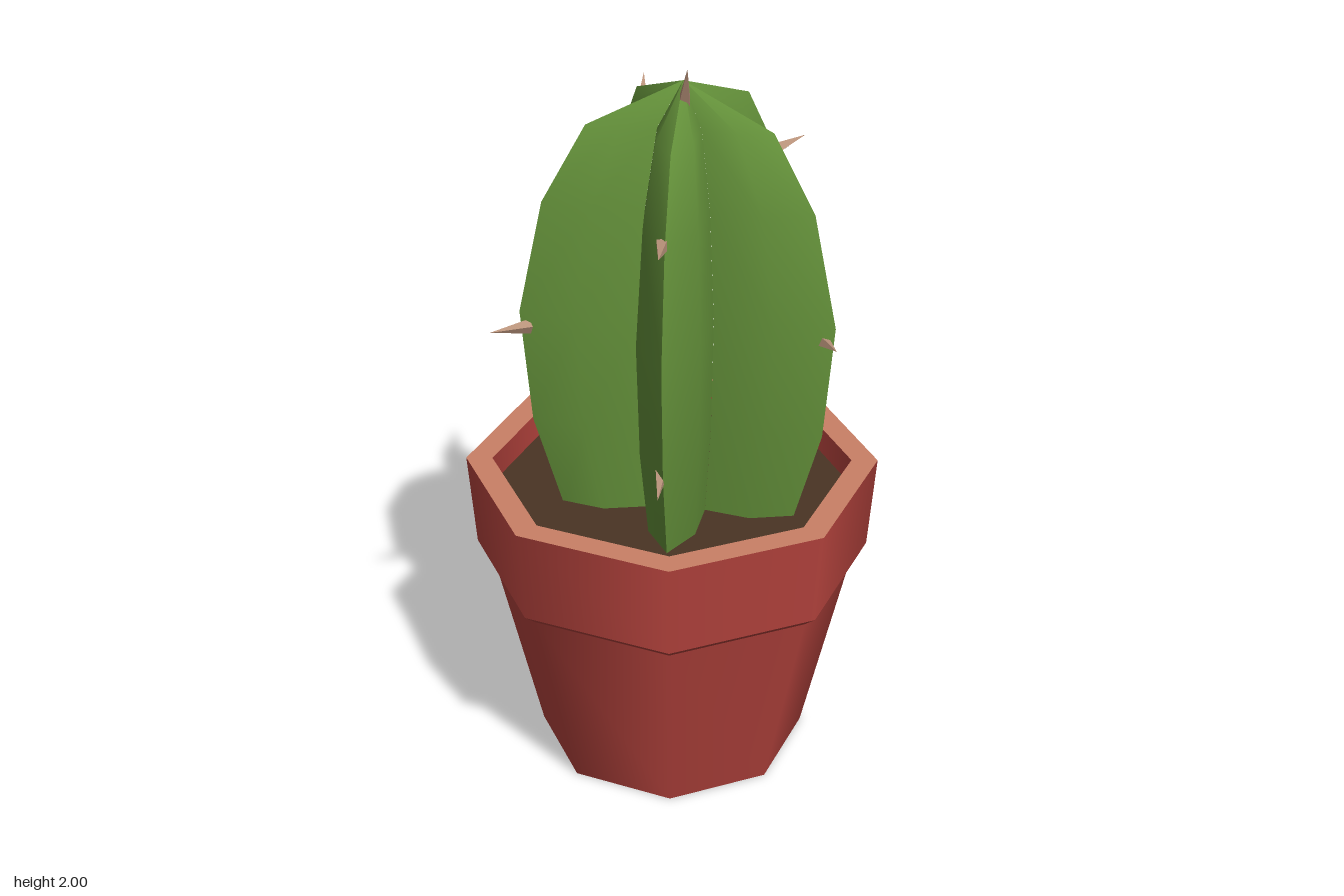
import * as THREE from 'three';

const mat = (name, color, extra = {}) =>
  Object.assign(new THREE.MeshStandardMaterial({ color, ...extra }), { name });

export function createModel() {
  const terracotta = mat('terracotta red', 0xb5433d);
  const rimTan = mat('pale rim', 0xc98066);
  const soilBrown = mat('soil brown', 0x4a3424);
  const green = mat('cactus green', 0x64913a);
  const spineTan = mat('spine tan', 0xb8927a, { flatShading: true });

  const model = new THREE.Group();
  model.name = 'pottedCactus';
  const add = (parent, name, geometry, material) => {
    const mesh = new THREE.Mesh(geometry, material);
    mesh.name = name;
    parent.add(mesh);
    return mesh;
  };

  // Octagonal pot: one ring per profile step keeps the horizontal edges sharp
  const pot = new THREE.Group();
  pot.name = 'pot';
  model.add(pot);
  const rings = [
    ['potBase', 0, 0, terracotta],
    ['potWall', 0.365, 0, terracotta],
    ['collarUnderside', 0.495, 0.565, terracotta],
    ['collar', 0.53, 0.595, terracotta],
    ['rimTop', 0.55, 0.855, rimTan],
    ['innerWall', 0.48, 0.855, terracotta],
    ['soil', 0.48, 0.78, soilBrown],
    ['end', 0, 0.78],
  ];
  for (let i = 0; i < rings.length - 1; i++) {
    const [name, r0, y0, material] = rings[i];
    const [, r1, y1] = rings[i + 1];
    const profile = [new THREE.Vector2(r0, y0), new THREE.Vector2(r1, y1)];
    add(pot, name, new THREE.LatheGeometry(profile, 8), material);
  }

  // Cactus body: five ribs, each made of two mirrored halves
  const cactus = new THREE.Group();
  cactus.name = 'cactus';
  cactus.position.x = 0.04;
  model.add(cactus);
  // [height, rib tip radius]
  const levels = [[0.77, 0.32], [1.035, 0.394], [1.35, 0.42], [1.645, 0.356], [1.84, 0.243], [1.937, 0]];
  // [outward, sideways] from valley over the shoulder to the tip, per unit of tip radius
  const section = [[0.31, 0.225], [0.69, 0.19], [1, 0]];

  const ribHalf = (angle, side) => {
    const c = Math.cos(angle), s = Math.sin(angle);
    const positions = [], index = [], n = section.length;
    for (const [y, r] of levels) {
      for (const [out, across] of section) {
        const a = out * r, b = across * r * side;
        positions.push(c * a - s * b, y, s * a + c * b);
      }
    }
    for (let i = 0; i < levels.length - 1; i++) {
      for (let j = 0; j < n - 1; j++) {
        const a = i * n + j, b = a + 1, d = a + n, e = d + 1;
        if (side > 0) index.push(a, b, d, b, e, d);
        else index.push(a, d, b, b, d, e);
      }
    }
    const geometry = new THREE.BufferGeometry();
    geometry.setAttribute('position', new THREE.Float32BufferAttribute(positions, 3));
    geometry.setIndex(index);
    geometry.computeVertexNormals();
    return geometry;
  };
  for (let k = 0; k < 5; k++) {
    const angle = THREE.MathUtils.degToRad(-92.5 + 72 * k);
    for (const side of [1, -1]) add(cactus, 'rib', ribHalf(angle, side), green);
  }

  // Spines: small cones from a base point to a tip point
  const spines = new THREE.Group();
  spines.name = 'spines';
  model.add(spines);
  const spinePoints = [
    [0.075, 1.9, 0.03, 0.115, 2.0, 0.06],
    [-0.2, 1.785, -0.09, -0.255, 1.84, -0.148],
    [0.24, 1.65, 0.265, 0.32, 1.665, 0.355],
    [0.25, 1.035, 0.28, 0.33, 1.025, 0.37],
    [0.4, 1.31, -0.135, 0.485, 1.325, -0.095],
    [-0.31, 1.31, -0.065, -0.412, 1.305, -0.025],
    [-0.17, 1.31, 0.335, -0.205, 1.315, 0.44],
    [0.03, 1.655, -0.34, 0.042, 1.67, -0.445],
    [0.03, 1.04, -0.37, 0.042, 1.03, -0.475],
  ];
  const up = new THREE.Vector3(0, 1, 0);
  for (const p of spinePoints) {
    const base = new THREE.Vector3(p[0], p[1], p[2]);
    const tip = new THREE.Vector3(p[3], p[4], p[5]);
    const dir = tip.clone().sub(base);
    const spine = add(spines, 'spine', new THREE.ConeGeometry(0.019, dir.length(), 4), spineTan);
    spine.position.copy(base).add(tip).multiplyScalar(0.5);
    spine.quaternion.setFromUnitVectors(up, dir.normalize());
  }

  return model;
}
